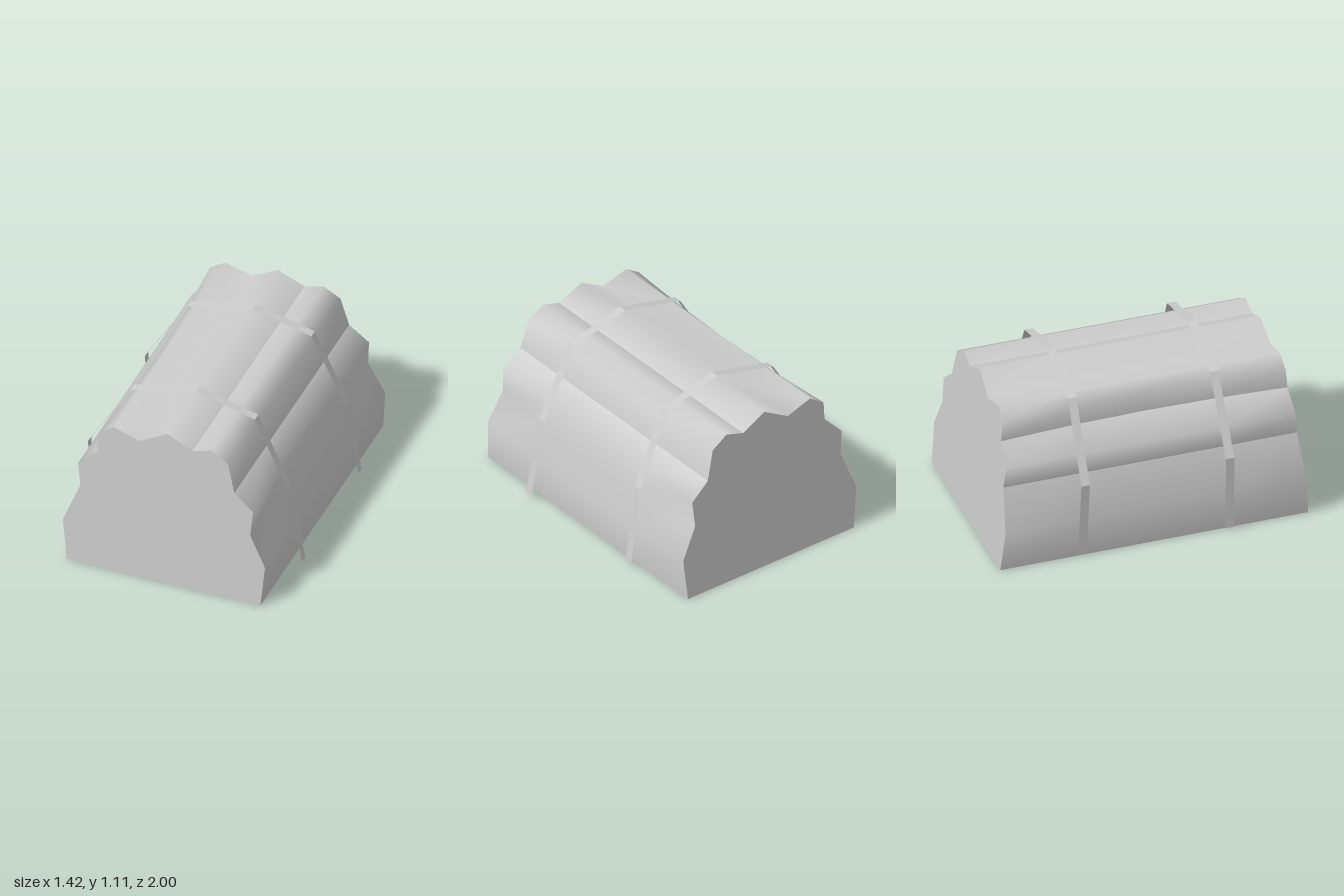
import * as THREE from 'three';

const grey = new THREE.MeshStandardMaterial({ color: 0xcccccc, side: THREE.DoubleSide });
grey.name = 'plainGrey';

// Outline of the bundle, split into lobes that meet at sharp creases
const lobes = [
  [[0.63, 0], [0.65, 0.275], [0.545, 0.48], [0.557, 0.65], [0.43, 0.755]],
  [[0.43, 0.755], [0.38, 0.95], [0.27, 1.018], [0.145, 0.98]],
  [[0.145, 0.98], [-0.025, 1.062], [-0.2, 0.963], [-0.375, 1.018], [-0.475, 0.95], [-0.475, 0.82]],
  [[-0.475, 0.82], [-0.6, 0.7], [-0.58, 0.55]],
  [[-0.58, 0.55], [-0.685, 0.275], [-0.65, 0]],
];

// Position on the bundle; t runs from -1 (back) to 1 (front), ends lean inward
function place(x, y, t) {
  const pinch = x < -0.4 && y > 0.8 ? 0.038 * (1 - t * t) : 0;
  const lean = t > 0 ? 0.09 : 0.08;
  return [x * (1 + 0.004 * (1 - t)) + pinch, y, t * (0.998 - lean * y)];
}

// Surface through rows of points of equal length
function loft(rows) {
  const n = rows[0].length, index = [];
  for (let j = 0; j < rows.length - 1; j++) {
    for (let i = 0; i < n - 1; i++) {
      const a = j * n + i, b = a + 1, c = a + n, d = c + 1;
      index.push(a, b, c, b, d, c);
    }
  }
  const geo = new THREE.BufferGeometry();
  geo.setAttribute('position', new THREE.Float32BufferAttribute(rows.flat(2), 3));
  geo.setIndex(index);
  geo.computeVertexNormals();
  return geo;
}

// Flat end wall, slightly tilted
function endCap(t) {
  const outline = lobes.flatMap((l, i) => (i ? l.slice(1) : l));
  const geo = new THREE.ShapeGeometry(new THREE.Shape(outline.map(p => new THREE.Vector2(...p))));
  const pos = geo.attributes.position;
  for (let i = 0; i < pos.count; i++) pos.setXYZ(i, ...place(pos.getX(i), pos.getY(i), t));
  if (t < 0) geo.index.array.reverse();
  geo.computeVertexNormals();
  return geo;
}

// Thin flat ribbon over the bundle: path points are [x, y, z of centre line]
function strap(path, width) {
  const rows = [-0.5, 0.5].map(s => path.map(([x, y, z]) => [x, y, z + s * width]));
  return loft(rows).toNonIndexed();
}

export function createModel() {
  const group = new THREE.Group();
  const add = (name, geo) => {
    const mesh = new THREE.Mesh(geo, grey);
    mesh.name = name;
    group.add(mesh);
  };

  // Long lobed sides, open underneath
  lobes.forEach((lobe, k) => {
    const rows = [-1, -0.5, 0, 0.5, 1].map(t => lobe.map(([x, y]) => place(x, y, t)));
    add('bundleLobe' + (k + 1), loft(rows));
  });
  add('frontEnd', endCap(1));
  add('backEnd', endCap(-1));

  // Two tie straps
  const straps = {
    frontStrap: [[0.71, 0.025, 0.49], [0.615, 0.53, 0.48], [0.39, 1.005, 0.468], [0, 1.11, 0.465],
      [-0.43, 1.005, 0.465], [-0.71, 0.54, 0.472], [-0.695, 0.025, 0.475]],
    backStrap: [[0.69, 0.025, -0.478], [0.61, 0.53, -0.465], [0.39, 1.005, -0.455], [0, 1.11, -0.45],
      [-0.43, 1.005, -0.455], [-0.715, 0.54, -0.465], [-0.672, 0.025, -0.472]],
  };
  for (const [name, path] of Object.entries(straps)) {
    const geo = strap(path, 0.055);
    geo.computeVertexNormals();
    add(name, geo);
  }
  return group;
}
